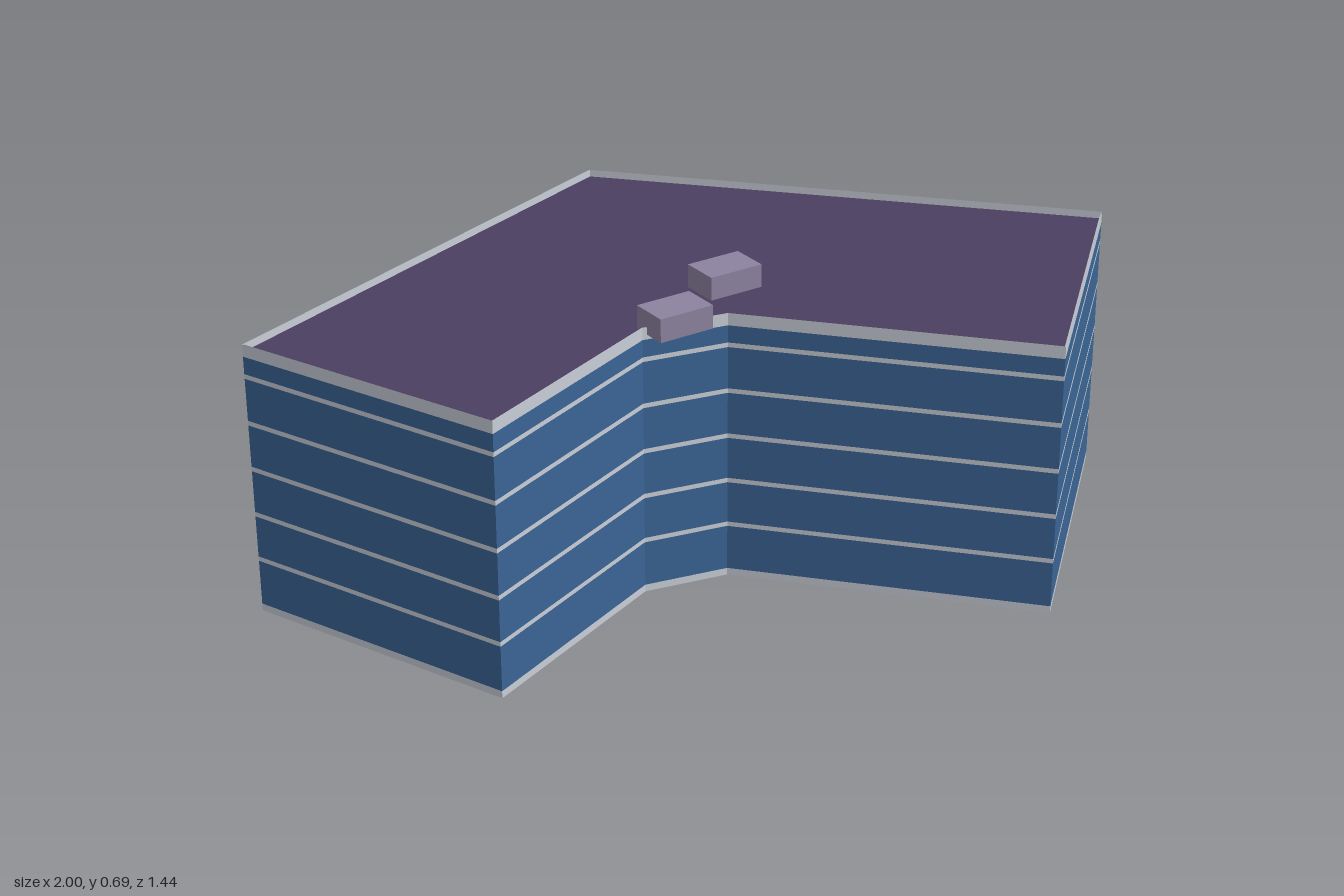
import * as THREE from 'three';

const paint = (name, color) => {
  const m = new THREE.MeshStandardMaterial({ color, side: THREE.DoubleSide });
  m.name = name;
  return m;
};

// Footprint corners (x, z), clockwise seen from above
const FOOTPRINT = [
  [-1, -0.273], [0.15, -0.72], [1, 0.19], [0.43, 0.72],
  [-0.06, 0.175], [-0.255, 0.135], [-0.75, 0.343],
].map(([x, z]) => new THREE.Vector2(x, z));

// Footprint moved inwards by d with mitred corners
function inset(d) {
  const n = FOOTPRINT.length;
  const normals = FOOTPRINT.map((a, i) => {
    const e = FOOTPRINT[(i + 1) % n].clone().sub(a).normalize();
    return new THREE.Vector2(-e.y, e.x);
  });
  return FOOTPRINT.map((p, i) => {
    const n0 = normals[(i + n - 1) % n], n1 = normals[i];
    return n0.clone().add(n1).multiplyScalar(d / (1 + n0.dot(n1))).add(p);
  });
}

// Ring of flat walls along an outline between two heights
function wallRing(outline, y0, y1, inward = false) {
  const pos = [];
  outline.forEach((p, i) => {
    const q = outline[(i + 1) % outline.length];
    const [a, b] = inward ? [q, p] : [p, q];
    const a0 = [a.x, y0, a.y], a1 = [a.x, y1, a.y];
    const b0 = [b.x, y0, b.y], b1 = [b.x, y1, b.y];
    pos.push(...b0, ...a0, ...a1, ...b0, ...a1, ...b1);
  });
  const g = new THREE.BufferGeometry();
  g.setAttribute('position', new THREE.Float32BufferAttribute(pos, 3));
  g.computeVertexNormals();
  return g;
}

export function createModel() {
  const group = new THREE.Group();
  group.name = 'officeBuilding';
  const glass = paint('blueGlass', 0x3a6494);
  const concrete = paint('paleConcrete', 0xc8cdd6);
  const roofing = paint('purpleRoofing', 0x4b3f60);
  const unitMetal = paint('lilacMetal', 0x8c829f);

  const add = (name, geometry, material) => {
    const mesh = new THREE.Mesh(geometry, material);
    mesh.name = name;
    group.add(mesh);
    return mesh;
  };

  // Alternating floor bands and glazing, from the plinth to the parapet
  const bands = [[0, 0.017]];
  for (let i = 0; i < 5; i++) bands.push([0.125 + i * 0.1105, 0.136 + i * 0.1105]);
  bands.push([0.619, 0.647]);
  bands.forEach(([y0, y1], i) => {
    const name = i === 0 ? 'plinth' : i === bands.length - 1 ? 'parapet' : 'floorBand' + i;
    add(name, wallRing(FOOTPRINT, y0, y1), concrete);
    if (i < bands.length - 1) add('glazing' + (i + 1), wallRing(FOOTPRINT, y1, bands[i + 1][0]), glass);
  });

  // Wall lining, seen through the open base and behind the parapet
  const lining = inset(0.003);
  add('innerWalls', wallRing(lining, 0, 0.647, true), concrete);

  // Roof deck sunk below the parapet
  const shape = new THREE.Shape(lining.map((p) => new THREE.Vector2(p.x, -p.y)));
  const deck = new THREE.ShapeGeometry(shape).rotateX(-Math.PI / 2);
  add('roofDeck', deck, roofing).position.y = 0.631;

  // Rooftop plant boxes
  [[-0.178, 0.145], [0.037, 0.022]].forEach(([x, z], i) => {
    add('rooftopUnit' + (i + 1), new THREE.BoxGeometry(0.135, 0.055, 0.092), unitMetal)
      .position.set(x, 0.658, z);
  });

  return group;
}
